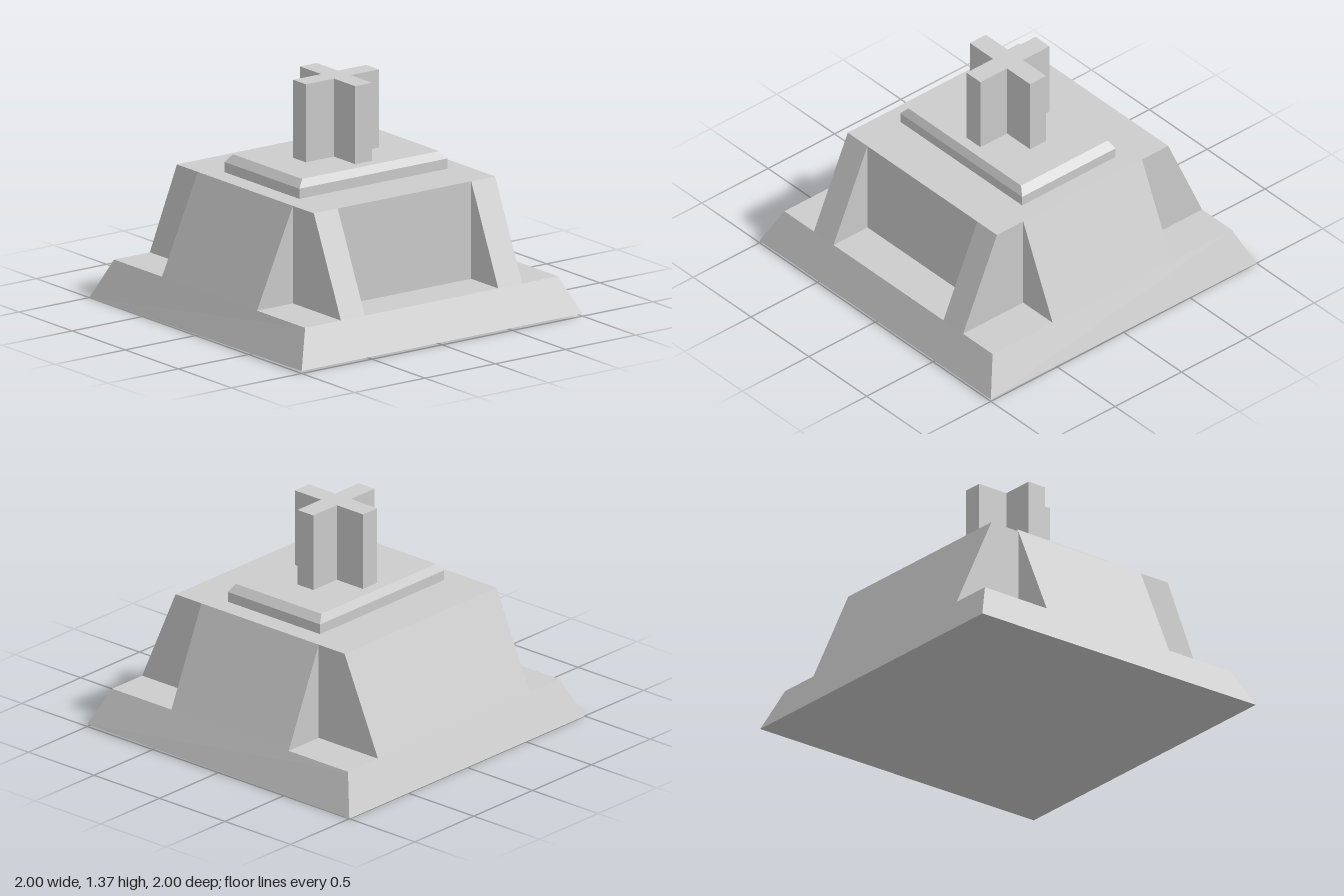
import * as THREE from 'three';

const SLOPE_TOP = 0.645; // half width of the housing at the top
const TOP_Y = 0.805;
const LEDGE_Y = 0.23;
const LEDGE = 0.9; // half width of the housing at ledge height

export function createModel() {
  const grey = new THREE.MeshStandardMaterial({ color: 0xcccccc });
  grey.name = 'light grey plastic';
  const model = new THREE.Group();
  model.name = 'switchTop';

  const add = (name, geometry) => {
    const mesh = new THREE.Mesh(geometry, grey);
    mesh.name = name;
    model.add(mesh);
    return mesh;
  };

  // Prism with a constant outline, centred along its depth
  const prism = (points, depth) => {
    const shape = new THREE.Shape(points.map(([x, y]) => new THREE.Vector2(x, y)));
    const g = new THREE.ExtrudeGeometry(shape, { depth, bevelEnabled: false });
    return g.translate(0, 0, -depth / 2);
  };

  // Four-sided block whose top has its own half sizes
  const taperedBlock = (y0, y1, [bx, bz], [tx, tz], frontLift = 0) => {
    const g = new THREE.BoxGeometry(2, 1, 2);
    const p = g.attributes.position;
    for (let i = 0; i < p.count; i++) {
      const top = p.getY(i) > 0;
      const front = p.getZ(i) > 0;
      p.setXYZ(i, p.getX(i) * (top ? tx : bx),
        top ? y1 : y0 + (front ? frontLift : 0),
        p.getZ(i) * (top ? tz : bz));
    }
    const flat = g.toNonIndexed();
    flat.computeVertexNormals();
    return flat;
  };

  // Sloped skirt with a very slightly tilted underside
  add('baseSkirt', taperedBlock(0, LEDGE_Y, [1, 1], [LEDGE, LEDGE], 0.015));

  // Housing core: sloped back, upright front wall of the recess
  add('housingCore', prism([
    [-LEDGE, LEDGE_Y], [SLOPE_TOP, LEDGE_Y], [SLOPE_TOP, TOP_Y], [-SLOPE_TOP, TOP_Y],
  ], 2 * SLOPE_TOP).rotateY(-Math.PI / 2));

  // Sloped side walls between the corner notches, and ribs framing the front recess
  const wedge = [[SLOPE_TOP, LEDGE_Y], [LEDGE, LEDGE_Y], [SLOPE_TOP, TOP_Y]];
  for (const [side, s] of [['left', 1], ['right', -1]]) {
    const wall = prism(wedge, 0.895);
    if (s < 0) wall.rotateY(Math.PI);
    add(side + 'SideWall', wall);

    const rib = prism(wedge, 0.17).rotateY(-Math.PI / 2);
    add(side + 'FrontRib', rib).position.x = s * 0.56;
  }

  // Raised plate with a bevelled rim
  add('plateBase', taperedBlock(TOP_Y, 0.865, [0.527, 0.352], [0.527, 0.352]));
  add('plateBevel', taperedBlock(0.865, 0.91, [0.527, 0.352], [0.487, 0.326]));

  // Cross-shaped stem
  const a = 0.26, b = 0.06;
  const cross = prism([
    [-b, -a], [b, -a], [b, -b], [a, -b], [a, b], [b, b],
    [b, a], [-b, a], [-b, b], [-a, b], [-a, -b], [-b, -b],
  ], 0.46).rotateX(-Math.PI / 2);
  add('crossStem', cross).position.y = 1.14;

  return model;
}
